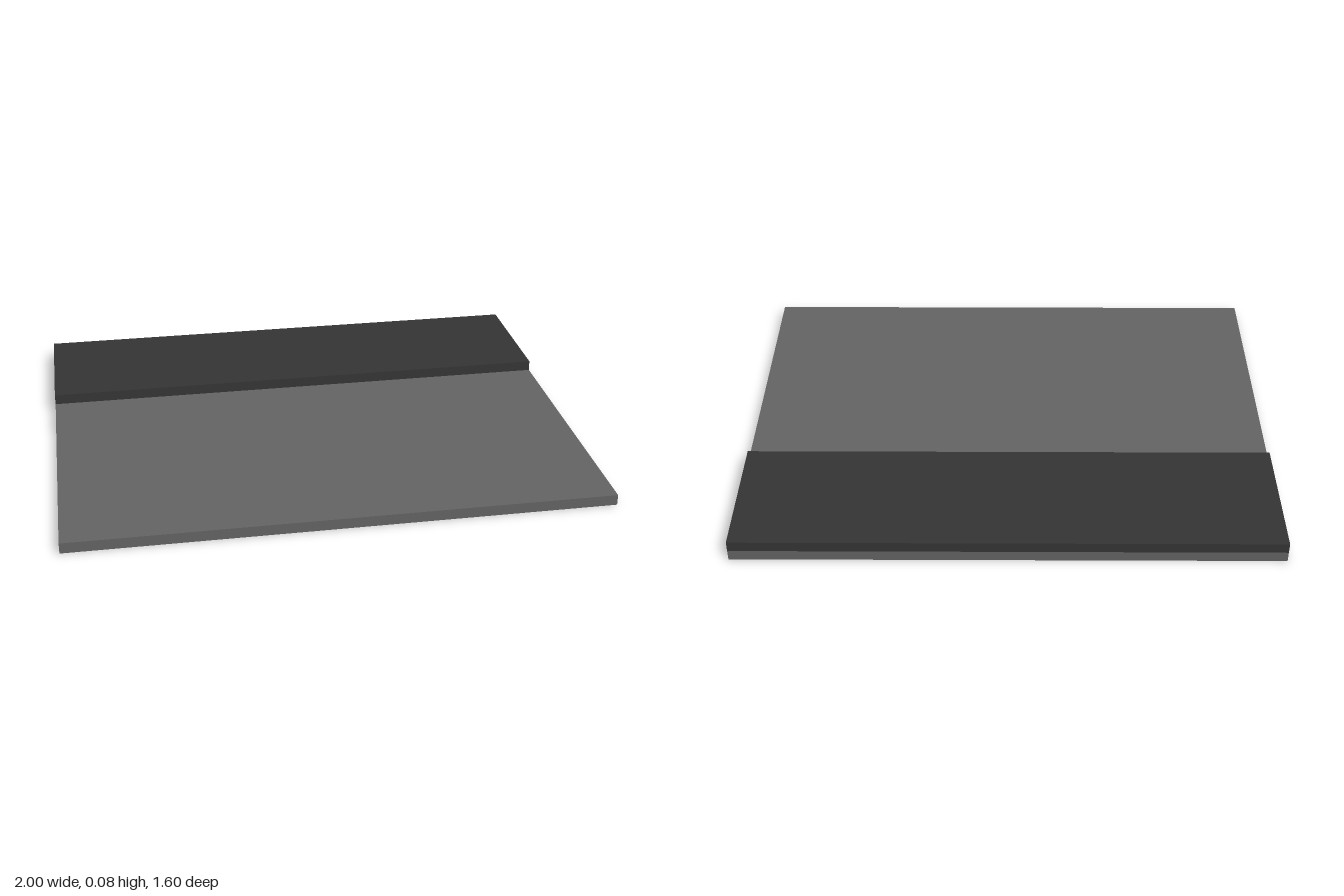
import * as THREE from 'three';

export function createModel() {
  const group = new THREE.Group();
  group.name = 'steppedSlab';

  const grey = new THREE.MeshStandardMaterial({ color: 0x646464 });
  grey.name = 'mid grey';
  const charcoal = new THREE.MeshStandardMaterial({ color: 0x353535 });
  charcoal.name = 'charcoal';

  const width = 2, depth = 1.6, thickness = 0.04, stepDepth = 0.52;

  // Box resting at height y, with its back edge flush with the slab's back edge
  const addSlab = (name, slabDepth, y, material) => {
    const mesh = new THREE.Mesh(new THREE.BoxGeometry(width, thickness, slabDepth), material);
    mesh.name = name;
    mesh.position.set(0, y + thickness / 2, (slabDepth - depth) / 2);
    group.add(mesh);
  };

  // Full-size base plate, and the raised strip along its back
  addSlab('basePlate', depth, 0, grey);
  addSlab('raisedBackStrip', stepDepth, thickness, charcoal);

  return group;
}
